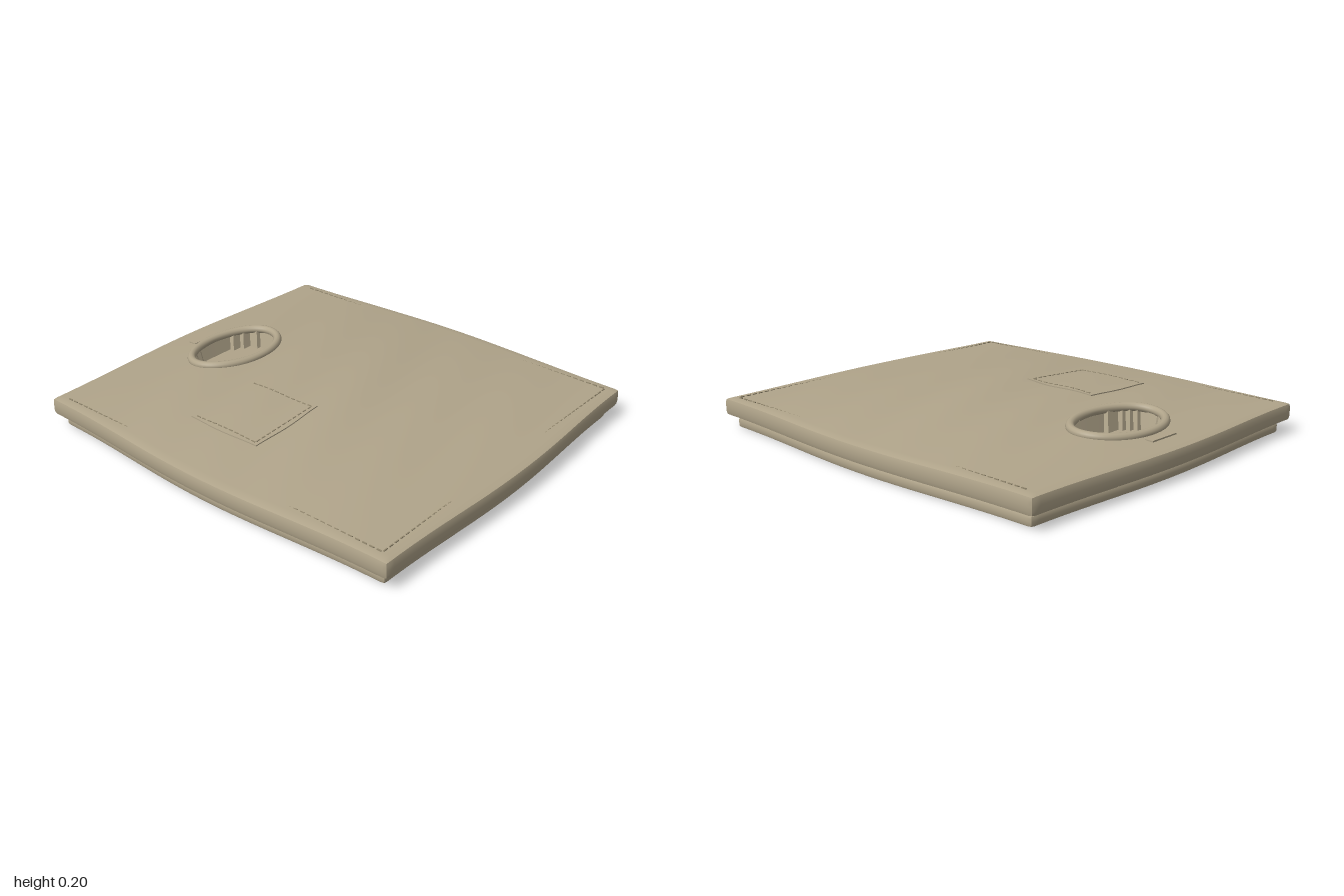
import * as THREE from 'three';
import { mergeVertices, mergeGeometries, toCreasedNormals } from 'three/addons/utils/BufferGeometryUtils.js';

const HX = 0.87, HZ = 0.965;               // half sizes at the corners
const NECK = { z: -0.655, rx: 0.245, rz: 0.165 };
const TOP = 0.14;                          // height of the upper rim
const bulge = t => Math.cos(Math.min(1, Math.abs(t)) * Math.PI / 2) ** 2;

// Height of the softly domed, wrinkled cloth at a point
function clothY(x, z) {
  const u = Math.min(1, Math.abs(x) / 0.9), v = Math.min(1, Math.abs(z) / 0.985);
  const dome = (1 - u * u) * (1 - v * v);
  const folds = Math.sin((z + 0.28 * x) * 17) * 0.004 + Math.sin((z * 0.8 + 0.45 * x) * 9 + 1) * 0.003;
  return TOP + dome * (0.049 + folds);
}

// Rounded slab with bowed sides; shapeTop may move the vertices of the top face
function slab(hx, hz, y0, y1, r, shapeTop) {
  const h = y1 - y0;
  const box = new THREE.BoxGeometry(2 * hx, h, 2 * hz, 76, 4, 84);
  box.deleteAttribute('uv');
  box.deleteAttribute('normal');
  const geo = mergeVertices(box, 1e-5);
  const pos = geo.attributes.position;
  const p = new THREE.Vector3(), c = new THREE.Vector3(), d = new THREE.Vector3();
  const inner = new THREE.Vector3(hx - r, h / 2 - r, hz - r);
  for (let i = 0; i < pos.count; i++) {
    p.fromBufferAttribute(pos, i);
    const onTop = p.y > h / 2 - 1e-4;
    c.copy(p).clamp(inner.clone().negate(), inner);
    d.subVectors(p, c);
    if (d.lengthSq() > 0) p.copy(c).addScaledVector(d.normalize(), r);
    const u = p.x / hx, v = p.z / hz;
    p.x += u * 0.044 * bulge(v);
    p.z += v * 0.034 * bulge(u);
    p.y += (y0 + y1) / 2;
    if (onTop && shapeTop) p.y = shapeTop(p.x, p.y, p.z);
    pos.setXYZ(i, p.x, p.y, p.z);
  }
  return toCreasedNormals(geo, 0.7);
}

// Row of short stitches between two points, laid at heights given by yAt
function stitchRow(x0, z0, x1, z1, yAt, step = 0.034) {
  const length = Math.hypot(x1 - x0, z1 - z0), n = Math.round(length / step);
  const parts = [];
  for (let i = 0; i < n; i++) {
    const t = (i + 0.5) / n;
    const x = x0 + (x1 - x0) * t, z = z0 + (z1 - z0) * t;
    const dash = new THREE.BoxGeometry(step * 0.62, 0.005, 0.005);
    dash.rotateY(-Math.atan2(z1 - z0, x1 - x0));
    parts.push(dash.translate(x, yAt(x, z), z));
  }
  return mergeGeometries(parts);
}

export function createModel() {
  const model = new THREE.Group();
  const cloth = new THREE.MeshStandardMaterial({ color: 0xb0a48a });
  cloth.name = 'khaki cloth';
  const thread = new THREE.MeshStandardMaterial({ color: 0x94896f });
  thread.name = 'khaki thread';
  const add = (name, geo, mat = cloth) => {
    const mesh = new THREE.Mesh(geo, mat);
    mesh.name = name;
    model.add(mesh);
    return mesh;
  };

  // Two folded layers, the upper one sunk inside the neck opening
  add('lowerLayer', slab(0.83, 0.925, 0, 0.047, 0.012));
  add('upperLayer', slab(HX, HZ, 0.06, TOP, 0.016, (x, y, z) => {
    const inNeck = Math.hypot(x / 0.225, (z - NECK.z) / 0.145) < 1;
    return inNeck ? 0.082 : y + clothY(x, z) - TOP;
  }));

  // Ribbed collar around the neck, following the cloth
  const ring = [];
  for (let i = 0; i < 32; i++) {
    const a = i / 32 * Math.PI * 2;
    const x = NECK.rx * Math.cos(a), z = NECK.z + NECK.rz * Math.sin(a);
    ring.push(new THREE.Vector3(x, clothY(x, z) + 0.004, z));
  }
  add('collar', new THREE.TubeGeometry(new THREE.CatmullRomCurve3(ring, true), 72, 0.02, 12, true));

  // Small label behind the collar
  const label = new THREE.BoxGeometry(0.16, 0.008, 0.04);
  label.translate(0, clothY(0, -0.875) + 0.001, -0.875);
  add('neckLabel', label);

  // Chest pocket: a thin draped plate with slightly bowed sides
  const PX = -0.412, PZ = -0.13;
  const pocket = new THREE.BoxGeometry(0.39, 0.008, 0.39, 16, 1, 16);
  const pp = pocket.attributes.position;
  for (let i = 0; i < pp.count; i++) {
    const u = pp.getX(i) / 0.195, v = pp.getZ(i) / 0.195;
    const x = PX + u * (0.195 + 0.012 * bulge(v)), z = PZ + v * (0.195 + 0.01 * bulge(u));
    pp.setXYZ(i, x, clothY(x, z) + 0.001 + pp.getY(i), z);
  }
  pocket.computeVertexNormals();
  add('pocket', pocket);

  // Pocket stitching on both sides and the lower edge
  const onPocket = (x, z) => clothY(x, z) + 0.005;
  add('pocketStitches', mergeGeometries([
    stitchRow(-0.592, -0.31, -0.592, 0.05, onPocket),
    stitchRow(-0.234, -0.31, -0.234, 0.05, onPocket),
    stitchRow(-0.592, 0.047, -0.234, 0.047, onPocket),
  ]), thread);

  // Hem stitching, level along the rim so the dome swallows the middle
  const level = () => TOP + 0.0035;
  add('hemStitches', mergeGeometries([
    stitchRow(-0.825, -0.9, -0.825, 0.91, level),
    stitchRow(0.825, -0.9, 0.825, 0.91, level),
    stitchRow(-0.825, 0.91, 0.825, 0.91, level),
  ]), thread);

  return model;
}
